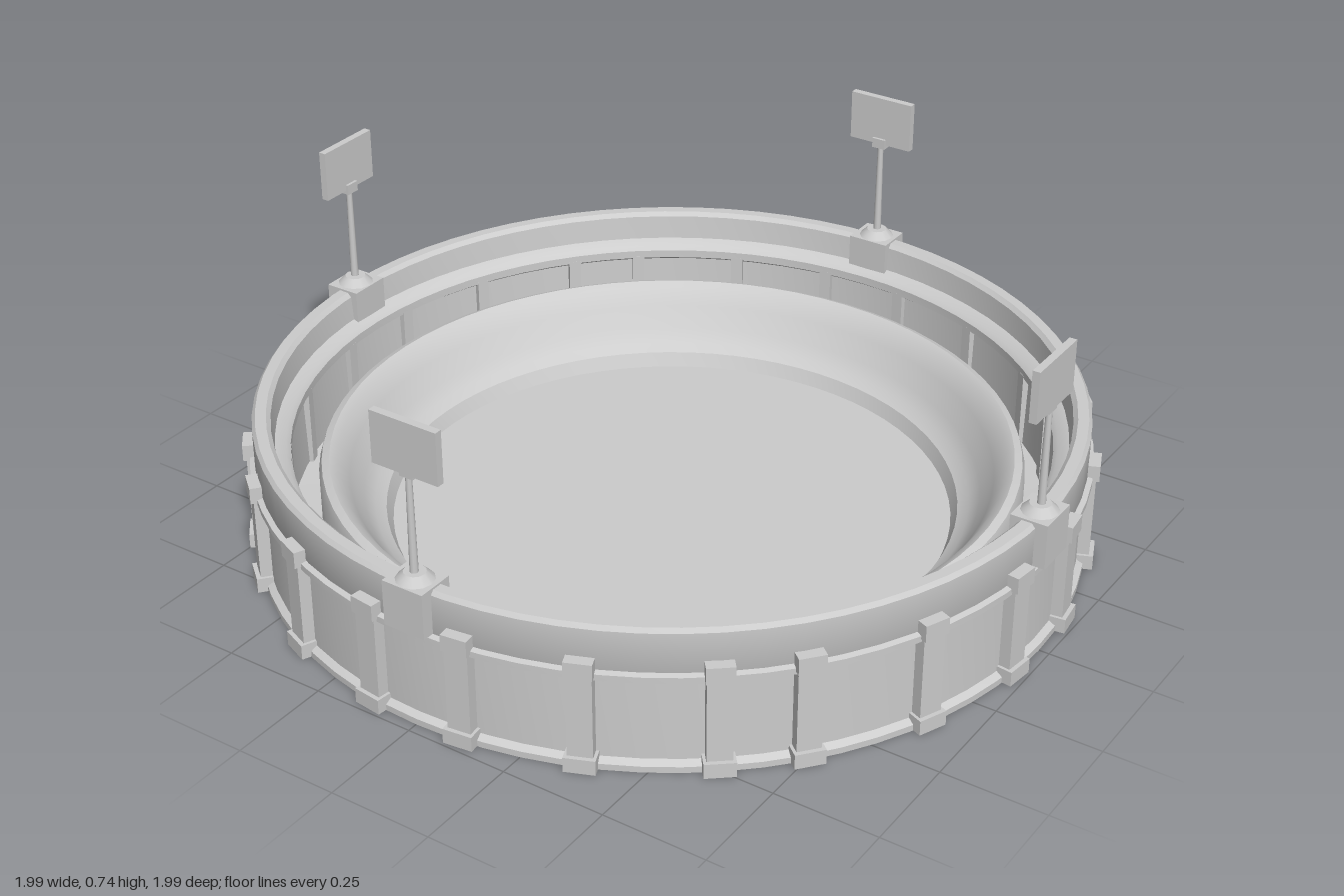
import * as THREE from 'three';
import { toCreasedNormals } from 'three/addons/utils/BufferGeometryUtils.js';

const stone = new THREE.MeshStandardMaterial({ color: 0xcccccc });
stone.name = 'light grey';

const DEG = Math.PI / 180;

function add(parent, name, geometry, x = 0, y = 0, z = 0) {
  const mesh = new THREE.Mesh(geometry, stone);
  mesh.name = name;
  mesh.position.set(x, y, z);
  parent.add(mesh);
  return mesh;
}

// Revolve [radius, height] points, keeping hard corners sharp
function ring(parent, name, points, segments = 72) {
  const profile = points.map(([r, y]) => new THREE.Vector2(r, y));
  return add(parent, name, toCreasedNormals(new THREE.LatheGeometry(profile, segments), 35 * DEG));
}

// Empty group turned about the axis; its local +z points outwards
function spoke(parent, name, angle) {
  const group = new THREE.Group();
  group.name = name;
  group.rotation.y = angle;
  parent.add(group);
  return group;
}

export function createModel() {
  const model = new THREE.Group();
  model.name = 'arena';

  // Underside, outer wall, and the inside face of the wall down to the trough
  ring(model, 'outerWall', [
    [0, 0], [0.975, 0], [0.975, 0.015], [0.96, 0.025], [0.96, 0.235],
    [0.9, 0.25], [0.895, 0.06], [0.82, 0.05],
  ]);

  // Ledge under the parapet
  ring(model, 'ledge', [
    [0.955, 0.225], [0.98, 0.23], [0.98, 0.245], [0.955, 0.252],
  ]);

  // Parapet with a stepped inner face
  ring(model, 'parapet', [
    [0.96, 0.235], [0.968, 0.25], [0.968, 0.345], [0.96, 0.355], [0.935, 0.355],
    [0.925, 0.345], [0.92, 0.285], [0.895, 0.275], [0.885, 0.265], [0.885, 0.245], [0.9, 0.235],
  ]);

  // Sloping bowl with a rounded crest
  ring(model, 'bowl', [
    [0.825, 0.05], [0.825, 0.19], [0.818, 0.212], [0.8, 0.22], [0.782, 0.21],
    [0.755, 0.17], [0.725, 0.12], [0.7, 0.09], [0.675, 0.075], [0.66, 0.04],
  ]);

  const floor = add(model, 'floor', new THREE.CircleGeometry(0.665, 72), 0, 0.041, 0);
  floor.rotation.x = -Math.PI / 2;

  // Pillars, six in each quarter
  const offsets = [7, 22.7, 39.5, 50.5, 67.3, 83];
  for (let quarter = 0; quarter < 4; quarter++) {
    for (const offset of offsets) {
      const pillar = spoke(model, 'pillar', (quarter * 90 + offset) * DEG);
      add(pillar, 'pillarFoot', new THREE.BoxGeometry(0.07, 0.036, 0.05), 0, 0.019, 0.972);
      add(pillar, 'pillarShaft', new THREE.BoxGeometry(0.056, 0.22, 0.04), 0, 0.14, 0.967);
      add(pillar, 'pillarCap', new THREE.BoxGeometry(0.062, 0.04, 0.045), 0, 0.257, 0.972);
      add(pillar, 'innerStrip', new THREE.BoxGeometry(0.03, 0.19, 0.02), 0, 0.155, 0.894);
    }
  }

  // Four sign posts on the parapet
  for (let i = 0; i < 4; i++) {
    const sign = spoke(model, 'signPost', i * 90 * DEG);
    add(sign, 'signBlock', new THREE.BoxGeometry(0.105, 0.11, 0.09), 0, 0.305, 0.95);
    add(sign, 'signCap', new THREE.CylinderGeometry(0.025, 0.045, 0.02, 12), 0, 0.368, 0.95);
    add(sign, 'pole', new THREE.CylinderGeometry(0.007, 0.01, 0.27, 10), 0, 0.495, 0.952);
    add(sign, 'signBracket', new THREE.BoxGeometry(0.035, 0.025, 0.022), 0, 0.62, 0.95);
    add(sign, 'signBoard', new THREE.BoxGeometry(0.17, 0.124, 0.018), 0, 0.679, 0.955);
  }

  return model;
}
